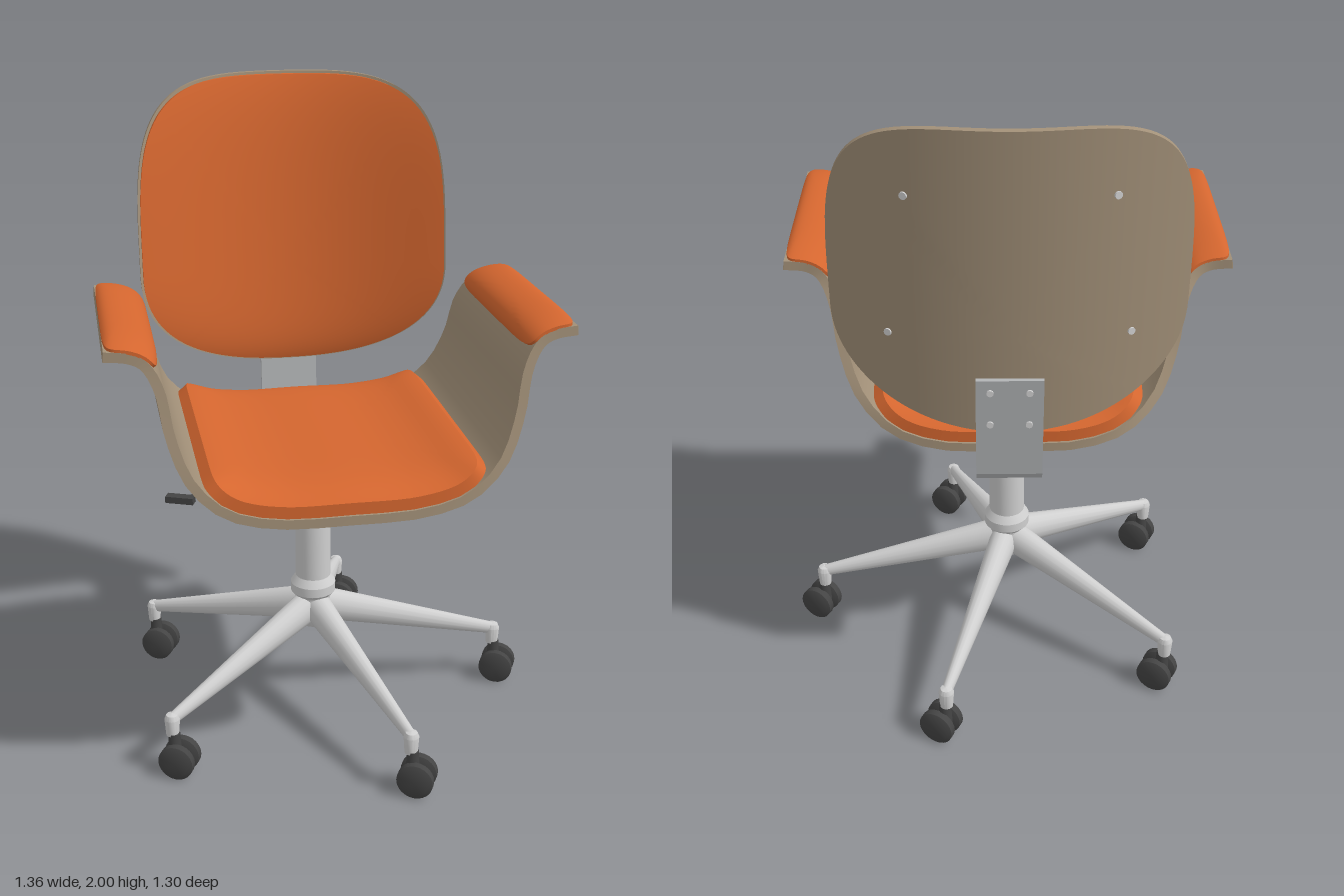
import * as THREE from 'three';
import { toCreasedNormals } from 'three/addons/utils/BufferGeometryUtils.js';

const CX = -0.035, CZ = -0.015; // axis of the swivel column

const mat = (name, color) => Object.assign(new THREE.MeshStandardMaterial({ color }), { name });

// Closed padded sheet: fn(p, q, m, top) maps a square grid, m = 0 at centre and 1 at the rim.
// power(q) gives the superellipse exponent of the outline, or none for a plain square.
function slab(fn, power, N = 40) {
  const pos = [], idx = [], s = (i) => Math.sin((i / N - 0.5) * Math.PI);
  const point = (i, j, top) => {
    let a = s(i), b = s(j);
    const m = Math.max(Math.abs(a), Math.abs(b));
    if (power && m > 0) {
      const n = power(b), A = Math.abs(a) / m, B = Math.abs(b) / m;
      const k = 1 / Math.pow(A ** n + B ** n, 1 / n);
      a *= k; b *= k;
    }
    return fn(a, b, m, top);
  };
  const add = (v) => pos.push(v.x, v.y, v.z) / 3 - 1;
  const quad = (a, b, c, d) => idx.push(a, b, c, a, c, d);
  for (const top of [true, false]) {
    const o = pos.length / 3;
    for (let j = 0; j <= N; j++) for (let i = 0; i <= N; i++) add(point(i, j, top));
    for (let j = 0; j < N; j++) for (let i = 0; i < N; i++) {
      const a = o + j * (N + 1) + i, b = a + 1, c = b + N + 1, d = a + N + 1;
      if (top) quad(a, d, c, b); else quad(a, b, c, d);
    }
  }
  const loop = [];
  for (let k = 0; k < N; k++) loop.push([k, 0]);
  for (let k = 0; k < N; k++) loop.push([N, k]);
  for (let k = N; k > 0; k--) loop.push([k, N]);
  for (let k = N; k > 0; k--) loop.push([0, k]);
  const o = pos.length / 3, L = loop.length;
  for (const [i, j] of loop) { add(point(i, j, true)); add(point(i, j, false)); }
  for (let k = 0; k < L; k++) {
    const a = o + 2 * k, b = o + 2 * ((k + 1) % L);
    quad(a, b, b + 1, a + 1);
  }
  const g = new THREE.BufferGeometry();
  g.setAttribute('position', new THREE.Float32BufferAttribute(pos, 3));
  g.setIndex(idx);
  g.computeVertexNormals();
  return g;
}

// Side profile given as [z, y] points, extruded across x
function extrudeAcross(points, width) {
  const shape = new THREE.Shape(points.map(([z, y]) => new THREE.Vector2(z, y)));
  const g = new THREE.ExtrudeGeometry(shape, { depth: width, bevelEnabled: false });
  return g.rotateY(-Math.PI / 2).translate(CX + width / 2, 0, 0);
}

const lathe = (pts, seg = 32) => toCreasedNormals(
  new THREE.LatheGeometry(pts.map(([r, y]) => new THREE.Vector2(r, y)), seg), 0.5);

// Half of the seat shell section: x, y, front z, back z
const HALF = [
  [0, 0.915, 0.605, -0.365], [0.2, 0.917, 0.6, -0.36], [0.35, 0.955, 0.59, -0.33],
  [0.45, 1.05, 0.575, -0.28], [0.5, 1.18, 0.555, -0.225], [0.52, 1.3, 0.54, -0.19],
  [0.55, 1.37, 0.53, -0.155], [0.59, 1.395, 0.525, -0.14], [0.655, 1.402, 0.52, -0.14],
];
const FULL = [...HALF.slice(1).reverse().map(([x, ...r]) => [-x, ...r]), ...HALF];
const curve = (k) => new THREE.CatmullRomCurve3(
  FULL.map((p) => new THREE.Vector3(p[0], p[1], p[k])), false, 'catmullrom', 0.5);
const FRONT = curve(2), BACK = curve(3);

// Point on the seat shell: t across, v from back to front, off along the inner normal
function shellPoint(t, v, off) {
  t = Math.min(1, Math.max(0, t));
  const f = FRONT.getPoint(t), b = BACK.getPoint(t);
  const d = FRONT.getPoint(Math.min(1, t + 1e-3)).sub(FRONT.getPoint(Math.max(0, t - 1e-3)));
  const l = Math.hypot(d.x, d.y);
  return new THREE.Vector3(CX + f.x - (d.y / l) * off, f.y + (d.x / l) * off, b.z + (f.z - b.z) * v);
}

// Point on the curved, leaning backrest
function backPoint(x, y, off) {
  return new THREE.Vector3(CX + x, y, -0.475 - 0.112 * (y - 1.055) + 0.7 * x * x + off);
}

export function createModel() {
  const root = new THREE.Group();
  root.name = 'officeChair';
  const upholstery = mat('orangeUpholstery', 0xd4662f);
  const wood = mat('taupeShell', 0xa39179);
  const metal = mat('lightMetal', 0xcfcfcf);
  const steel = mat('bracketSteel', 0xb2b4b6);
  const dark = mat('darkPlastic', 0x444444);
  const add = (name, geo, m, x = 0, y = 0, z = 0, parent = root) => {
    const mesh = new THREE.Mesh(geo, m);
    mesh.name = name;
    mesh.position.set(x, y, z);
    parent.add(mesh);
    return mesh;
  };
  const cyl = (r1, r2, h, seg = 24) => new THREE.CylinderGeometry(r1, r2, h, seg);

  // Seat shell, seat cushion and arm pads
  add('seatShell', slab((p, q, m, top) => shellPoint(0.5 + p / 2, 0.5 + q / 2, top ? 0.028 : 0), null, 56), wood);
  add('seatCushion', slab((p, q, m, top) => shellPoint(0.5 + (p * 2.7) / 16, 0.5 + q * 0.492,
    top ? 0.064 + 0.038 * (1 - m ** 8) : 0.027), () => 14), upholstery);
  for (const side of [-1, 1]) {
    add(side < 0 ? 'rightArmPad' : 'leftArmPad', slab((p, q, m, top) =>
      shellPoint(0.5 + (side * 6.85 + p * 1.15) / 16, 0.5 + q * 0.5,
        top ? 0.036 + 0.02 * (1 - m ** 5) : 0.026), () => 7, 28), upholstery);
  }

  // Backrest shell and cushion
  const backOutline = (q) => (q < 0 ? 4 : 2.2);
  const backSlab = (inset, o0, o1, bulge) => slab((p, q, m, top) =>
    backPoint((0.5 - inset) * p, 1.4 - ((q < 0 ? 0.6 : 0.345) - inset) * q,
      top ? o1 + bulge * (1 - m ** 6) : o0), backOutline, 44);
  add('backShell', backSlab(0, 0, 0.022, 0), wood);
  add('backCushion', backSlab(0.008, 0.021, 0.04, 0.024), upholstery);
  for (const [x, y] of [[0.275, 1.8], [0.335, 1.36]]) for (const s of [-1, 1]) {
    const screw = add('backScrew', cyl(0.011, 0.011, 0.008, 12), metal, ...backPoint(s * x, y, -0.002).toArray());
    screw.rotation.set(Math.PI / 2, 0, s * 0.4);
  }

  // Bent steel bracket joining the seat and backrest
  add('backBracket', extrudeAcross([
    [-0.1, 0.888], [-0.455, 0.888], [-0.475, 0.897], [-0.484, 0.917], [-0.517, 1.25],
    [-0.503, 1.25], [-0.47, 0.92], [-0.463, 0.907], [-0.45, 0.902], [-0.1, 0.902],
  ], 0.19), steel);
  for (const x of [-0.055, 0.055]) for (const y of [1.1, 1.21]) {
    add('bracketBolt', cyl(0.01, 0.01, 0.012, 12), metal, CX + x, y, -0.503 - 0.1 * (y - 1.1)).rotation.x = Math.PI / 2;
  }

  // Tilt mechanism under the seat
  add('mountingPlate', new THREE.BoxGeometry(0.3, 0.018, 0.36), metal, CX, 0.905, 0.03);
  add('tiltHousing', extrudeAcross([
    [0.29, 0.912], [0.285, 0.9], [0.15, 0.857], [0.1, 0.828], [-0.085, 0.822],
    [-0.115, 0.856], [-0.26, 0.892], [-0.27, 0.912],
  ].reverse(), 0.2), metal);
  add('housingCover', new THREE.BoxGeometry(0.18, 0.024, 0.18), dark, CX, 0.818, 0.0);
  add('housingFront', new THREE.BoxGeometry(0.18, 0.045, 0.06), dark, CX, 0.838, 0.135);
  add('tensionKnob', cyl(0.039, 0.036, 0.125, 16), dark, CX, 0.782, 0.15);
  add('columnCollar', lathe([[0, 0.765], [0.04, 0.765], [0.047, 0.785], [0.047, 0.815], [0, 0.815]]), dark, CX, 0, CZ - 0.008);
  const lever = new THREE.CatmullRomCurve3([
    new THREE.Vector3(CX - 0.08, 0.858, 0.08), new THREE.Vector3(-0.28, 0.862, 0.15), new THREE.Vector3(-0.45, 0.866, 0.22)]);
  add('lever', new THREE.TubeGeometry(lever, 12, 0.006, 8), dark);
  const grip = add('leverGrip', new THREE.BoxGeometry(0.085, 0.02, 0.03), dark, -0.478, 0.866, 0.232);
  grip.rotation.y = -0.39;

  // Column and hub
  add('piston', cyl(0.038, 0.038, 0.06), metal, CX, 0.75, CZ);
  add('columnAndHub', lathe([[0, 0.27], [0.038, 0.275], [0.052, 0.3], [0.06, 0.385], [0.073, 0.4],
    [0.073, 0.43], [0.057, 0.455], [0.057, 0.732], [0, 0.732]]), metal, CX, 0, CZ);

  // Five legs with twin-wheel casters
  const wheel = lathe([[0, -0.018], [0.042, -0.018], [0.056, -0.011], [0.056, 0.011], [0.042, 0.018], [0, 0.018]], 24);
  const from = new THREE.Vector3(0.03, 0.343, 0), to = new THREE.Vector3(0.622, 0.188, 0);
  const length = from.distanceTo(to);
  for (let i = 0; i < 5; i++) {
    const angle = (i * Math.PI * 2) / 5;
    const leg = new THREE.Group();
    leg.name = 'leg' + (i + 1);
    leg.position.set(CX, 0, CZ);
    leg.rotation.y = -angle;
    root.add(leg);
    const mid = from.clone().add(to).multiplyScalar(0.5);
    const arm = add('legArm', cyl(0.02, 0.056, length, 16).scale(1, 1, 0.82), metal, mid.x, mid.y, 0, leg);
    arm.rotation.z = -Math.PI / 2 + Math.atan2(to.y - from.y, to.x - from.x);
    add('legTip', lathe([[0, -0.055], [0.02, -0.055], [0.024, 0], [0.018, 0.014], [0, 0.02]], 16), metal, 0.622, 0.19, 0, leg);

    const caster = new THREE.Group();
    caster.name = 'caster' + (i + 1);
    caster.position.set(CX + 0.622 * Math.cos(angle) + 0.018, 0.057, CZ + 0.622 * Math.sin(angle) + 0.012);
    caster.rotation.y = -0.47;
    root.add(caster);
    for (const s of [-1, 1]) add('wheel', wheel, dark, 0, 0, s * 0.027, caster).rotation.x = Math.PI / 2;
    add('axle', cyl(0.03, 0.03, 0.04, 16), dark, 0, 0, 0, caster).rotation.x = Math.PI / 2;
    add('stem', cyl(0.018, 0.022, 0.08, 16), dark, -0.015, 0.045, 0, caster);
  }
  return root;
}
